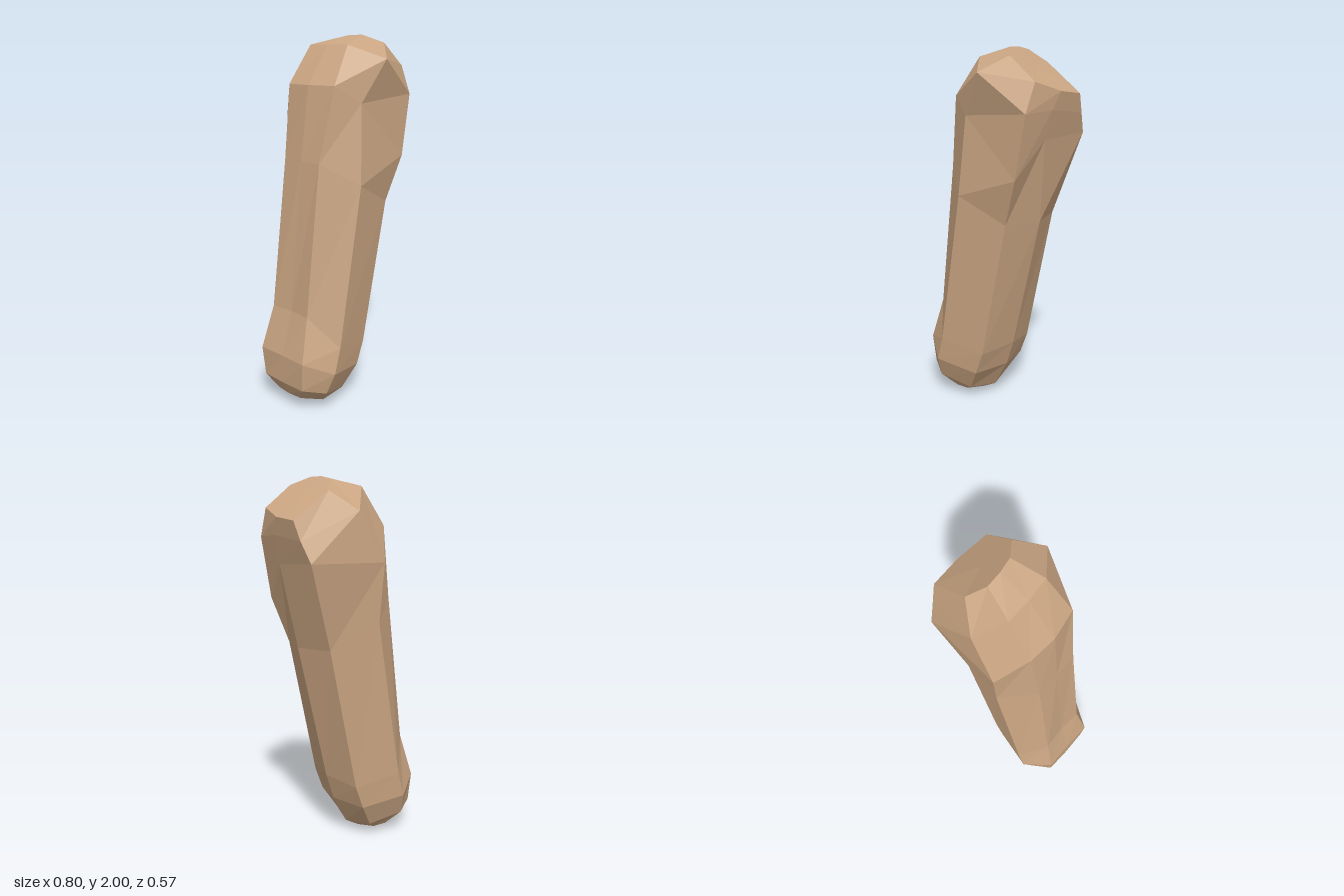
import * as THREE from 'three';

const SIDES = 8; // columns run: right, front right, front, front left, left, then round the back

// Full ring from five (x, y, z) points, mirrored front to back
function mirrored(half) {
  const back = half.slice(1, 4).reverse().map(([x, y, z]) => [x, y, -z]);
  return [...half, ...back];
}

// Faceted skin through a stack of rings, closed by a fan at each end
function loft(rings) {
  const pos = [];
  const tri = (...pts) => pts.forEach((p) => pos.push(...p));
  for (let i = 0; i < rings.length - 1; i++) {
    const lo = rings[i], up = rings[i + 1];
    for (let j = 0; j < SIDES; j++) {
      const k = (j + 1) % SIDES;
      tri(lo[j], up[j], lo[k]);
      tri(lo[k], up[j], up[k]);
    }
  }
  const cap = (ring, top) => {
    const mid = [0, 1, 2].map((c) => ring.reduce((s, p) => s + p[c], 0) / SIDES);
    for (let j = 0; j < SIDES; j++) {
      const k = (j + 1) % SIDES;
      if (top) tri(mid, ring[k], ring[j]);
      else tri(mid, ring[j], ring[k]);
    }
  };
  cap(rings[0], false);
  cap(rings[rings.length - 1], true);
  const geo = new THREE.BufferGeometry();
  geo.setAttribute('position', new THREE.Float32BufferAttribute(pos, 3));
  geo.computeVertexNormals();
  return geo;
}

export function createModel() {
  // Rounded foot and straight leaning shaft
  const shaft = [
    [[-0.13, 0, 0], [-0.16, 0.02, 0.11], [-0.22, 0.035, 0.14], [-0.34, 0.07, 0.09], [-0.35, 0.07, 0]],
    [[-0.04, 0.05, 0], [-0.09, 0.07, 0.16], [-0.27, 0.12, 0.22], [-0.385, 0.15, 0.15], [-0.39, 0.15, 0]],
    [[0.05, 0.21, 0], [-0.01, 0.2, 0.2], [-0.25, 0.24, 0.265], [-0.395, 0.31, 0.165], [-0.39, 0.31, 0]],
    [[0.1, 0.36, 0], [0.04, 0.33, 0.2], [-0.21, 0.38, 0.265], [-0.33, 0.55, 0.135], [-0.32, 0.55, 0]],
    [[0.28, 1.11, 0], [0.21, 1.11, 0.2], [-0.06, 1.24, 0.265], [-0.232, 1.36, 0.13], [-0.235, 1.36, 0]],
  ].map(mirrored);

  // Uneven swollen head, ending in a slanted flat facet
  const head = [
    [[0.35, 1.55, 0.06], [0.3, 1.36, 0.235], [-0.03, 1.66, 0.235], [-0.16, 1.75, 0.17],
      [-0.19, 1.75, 0.01], [-0.18, 1.75, -0.145], [-0.075, 1.56, -0.287], [0.36, 1.56, -0.255]],
    [[0.385, 1.7, 0.05], [0.36, 1.69, 0.23], [0.1, 1.88, 0.287], [-0.025, 1.95, 0.13],
      [-0.04, 1.95, 0], [-0.04, 1.95, -0.13], [0.07, 1.82, -0.26], [0.385, 1.67, -0.2]],
    [[0.4, 1.79, 0], [0.365, 1.84, 0.165], [0.21, 1.96, 0.17], [0.14, 2, 0.08],
      [0.125, 2, 0], [0.125, 1.985, -0.08], [0.19, 1.92, -0.16], [0.4, 1.77, -0.16]],
  ];

  const material = new THREE.MeshStandardMaterial({ color: 0xcaa582, flatShading: true });
  const body = new THREE.Mesh(loft([...shaft, ...head]), material);
  body.name = 'facetedBody';

  const group = new THREE.Group();
  group.name = 'leaningLowPolyForm';
  group.add(body);
  return group;
}
